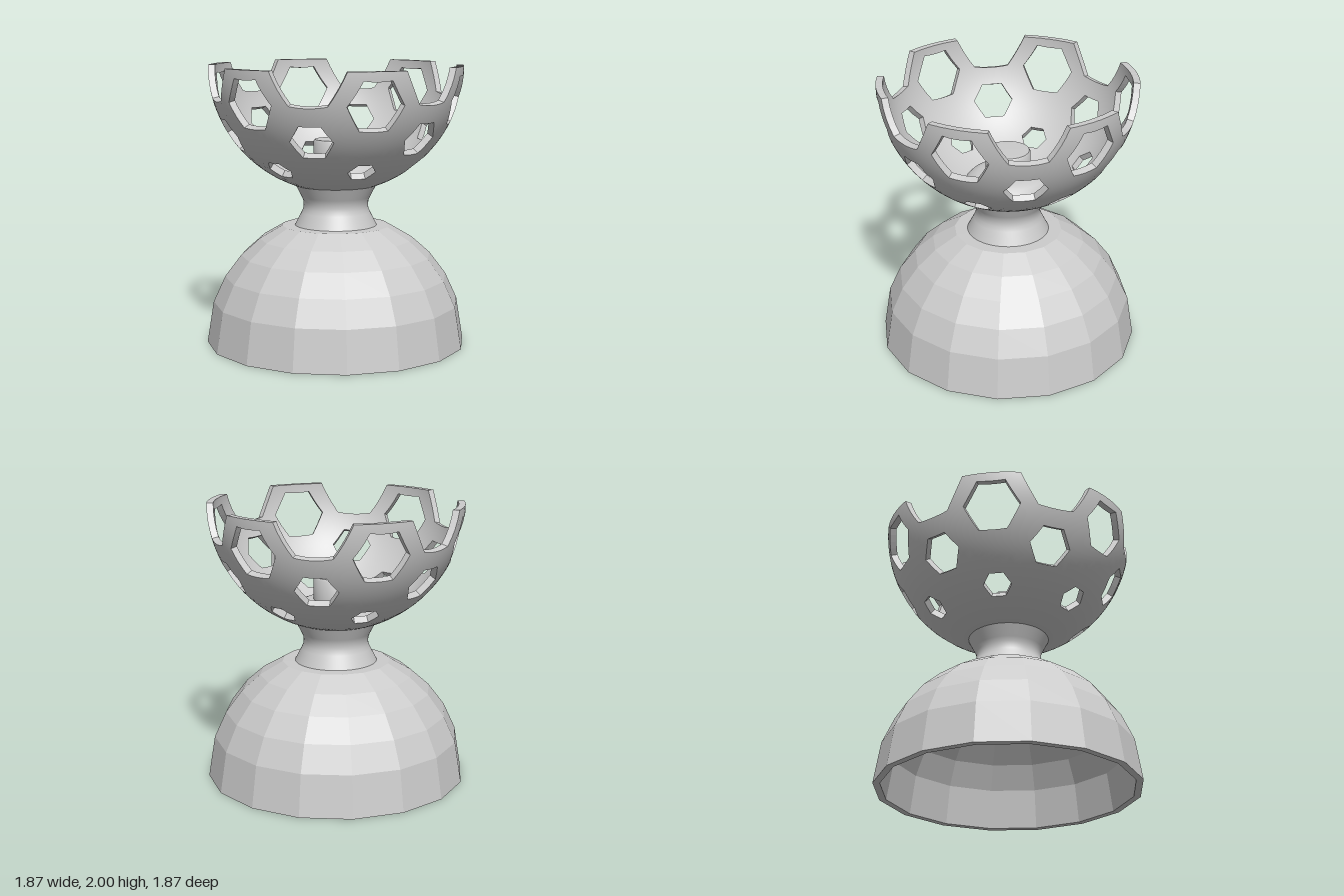
import * as THREE from 'three';
import { toCreasedNormals } from 'three/addons/utils/BufferGeometryUtils.js';

const RAD = Math.PI / 180;
const BOWL = { y: 2, outer: 0.905, inner: 0.857 };
const PHASE = 20.8; // azimuth of the first rim notch, degrees

const grey = (opts = {}) => new THREE.MeshStandardMaterial({ color: 0xcccccc, ...opts });

function addMesh(group, name, geometry, material) {
  const mesh = new THREE.Mesh(geometry, material);
  mesh.name = name;
  group.add(mesh);
}

// The bowl is drawn flat: distance from the centre = angle from its lowest point.
function toChart(dir) {
  const theta = Math.acos(THREE.MathUtils.clamp(-dir.y, -1, 1));
  const h = Math.hypot(dir.x, dir.z);
  return new THREE.Vector2((theta * dir.x) / h, (theta * dir.z) / h);
}

function fromChart(p) {
  const theta = p.length();
  const s = Math.sin(theta) / theta;
  return new THREE.Vector3(p.x * s, -Math.cos(theta), p.y * s);
}

// Corners of a hexagon lying on the sphere, given from corner i0 to i1
function hexagon(azDeg, dropDeg, size, i0 = 0, i1 = 5) {
  const az = azDeg * RAD, drop = dropDeg * RAD;
  const sa = Math.sin(az), ca = Math.cos(az);
  const centre = new THREE.Vector3(sa * Math.cos(drop), -Math.sin(drop), ca * Math.cos(drop));
  const east = new THREE.Vector3(ca, 0, -sa);
  const up = new THREE.Vector3(sa * Math.sin(drop), Math.cos(drop), ca * Math.sin(drop));
  const points = [];
  for (let i = i0; i <= i1; i++) {
    const a = (i * Math.PI) / 3, t = size / BOWL.outer;
    const d = centre.clone().addScaledVector(east, t * Math.cos(a)).addScaledVector(up, t * Math.sin(a));
    points.push(toChart(d.normalize()));
  }
  return points;
}

// Flat pattern: notched rim, three staggered rows of hexagons, hub opening
function bowlPattern() {
  const notch = 0.275;
  const half = Math.atan(notch / BOWL.outer) / RAD;
  const outline = [];
  for (let k = 0; k < 6; k++) {
    const az = PHASE + 60 * k;
    outline.push(...hexagon(az, 0, notch, 3, 6));
    for (let i = 1; i < 6; i++) {
      const a = (az + half + ((60 - 2 * half) * i) / 6) * RAD;
      outline.push(new THREE.Vector2(Math.sin(a), Math.cos(a)).multiplyScalar(Math.PI / 2));
    }
  }
  const shape = new THREE.Shape(outline);
  const rows = [[30, 15, 0.205], [0, 32, 0.152], [30, 51, 0.1]]; // turn, drop, size
  for (const [turn, drop, size] of rows) {
    for (let k = 0; k < 6; k++) shape.holes.push(new THREE.Path(hexagon(PHASE + turn + 60 * k, drop, size)));
  }
  const ring = [];
  for (let i = 0; i < 48; i++) {
    const a = (i / 48) * 2 * Math.PI;
    ring.push(new THREE.Vector2(Math.cos(a), Math.sin(a)).multiplyScalar(Math.asin(0.28 / BOWL.outer)));
  }
  shape.holes.push(new THREE.Path(ring));
  return new THREE.ShapeGeometry(shape);
}

// Halve the longest edge until every triangle is small enough to curve smoothly
function refine(a, b, c, limit, out) {
  const ab = a.distanceTo(b), bc = b.distanceTo(c), ca = c.distanceTo(a);
  const longest = Math.max(ab, bc, ca);
  if (longest <= limit) {
    out.push([a, b, c]);
    return;
  }
  if (longest === bc) [a, b, c] = [b, c, a];
  else if (longest === ca) [a, b, c] = [c, a, b];
  const m = a.clone().add(b).multiplyScalar(0.5);
  refine(a, m, c, limit, out);
  refine(m, b, c, limit, out);
}

function buildBowl(group) {
  const flat = bowlPattern();
  const pos = flat.attributes.position, index = flat.index.array;
  const corner = (i) => new THREE.Vector2(pos.getX(i), pos.getY(i));
  const tris = [];
  for (let i = 0; i < index.length; i += 3) {
    refine(corner(index[i]), corner(index[i + 1]), corner(index[i + 2]), 0.09, tris);
  }

  // Outer and inner skins with true sphere normals
  const skin = (radius, sign) => {
    const p = [], n = [];
    for (const [a, b, c] of tris) {
      for (const v of sign > 0 ? [a, b, c] : [a, c, b]) {
        const d = fromChart(v);
        p.push(d.x * radius, BOWL.y + d.y * radius, d.z * radius);
        n.push(d.x * sign, d.y * sign, d.z * sign);
      }
    }
    const g = new THREE.BufferGeometry();
    g.setAttribute('position', new THREE.Float32BufferAttribute(p, 3));
    g.setAttribute('normal', new THREE.Float32BufferAttribute(n, 3));
    return g;
  };
  addMesh(group, 'bowlOuterSkin', skin(BOWL.outer, 1), grey());
  addMesh(group, 'bowlInnerSkin', skin(BOWL.inner, -1), grey());

  // Edges used by only one triangle get a wall joining the two skins
  const key = (v) => `${Math.round(v.x * 1e5)},${Math.round(v.y * 1e5)}`;
  const edges = new Map();
  for (const t of tris) {
    for (let i = 0; i < 3; i++) {
      const a = t[i], b = t[(i + 1) % 3];
      const back = `${key(b)}|${key(a)}`;
      if (!edges.delete(back)) edges.set(`${key(a)}|${key(b)}`, [a, b]);
    }
  }
  const wall = [];
  for (const [a, b] of edges.values()) {
    const at = (v, r) => fromChart(v).multiplyScalar(r);
    const aO = at(a, BOWL.outer), bO = at(b, BOWL.outer);
    const aI = at(a, BOWL.inner), bI = at(b, BOWL.inner);
    for (const v of [bO, aO, aI, bO, aI, bI]) wall.push(v.x, v.y + BOWL.y, v.z);
  }
  const g = new THREE.BufferGeometry();
  g.setAttribute('position', new THREE.Float32BufferAttribute(wall, 3));
  g.computeVertexNormals();
  addMesh(group, 'bowlCutEdges', g, grey());
}

// Faceted hollow dome, open at the bottom
function buildBase(group) {
  const angles = [0, 18.5, 31, 43, 54, 65.5];
  const arc = (r) => angles.map((a) => new THREE.Vector2(r * Math.cos(a * RAD), r * Math.sin(a * RAD)));
  const outer = arc(0.935), inner = arc(0.885).reverse();
  const profile = [...outer, new THREE.Vector2(0.2, 0.855), new THREE.Vector2(0.2, 0.81), ...inner, outer[0].clone()];
  addMesh(group, 'baseDome', new THREE.LatheGeometry(profile, 16), grey({ flatShading: true }));
}

// Waisted neck with a rounded collar and a stud reaching into each half
function buildHub(group) {
  const upper = [
    [0.232, 1.0], [0.234, 1.03], [0.247, 1.06], [0.298, 1.16], [0.315, 1.2], [0.3, 1.245],
    [0.265, 1.28], [0.215, 1.3], [0.16, 1.305], [0.16, 1.455], [0.15, 1.47], [0, 1.475],
  ].map(([r, y]) => new THREE.Vector2(r, y));
  const lower = upper.slice(1).reverse().map((p) => new THREE.Vector2(p.x, 2.005 - p.y));
  const lathe = new THREE.LatheGeometry([...lower, ...upper], 64);
  addMesh(group, 'neckAndStuds', toCreasedNormals(lathe, 0.7), grey());
}

export function createModel() {
  const group = new THREE.Group();
  group.name = 'doubleCup';
  buildBase(group);
  buildHub(group);
  buildBowl(group);
  return group;
}
